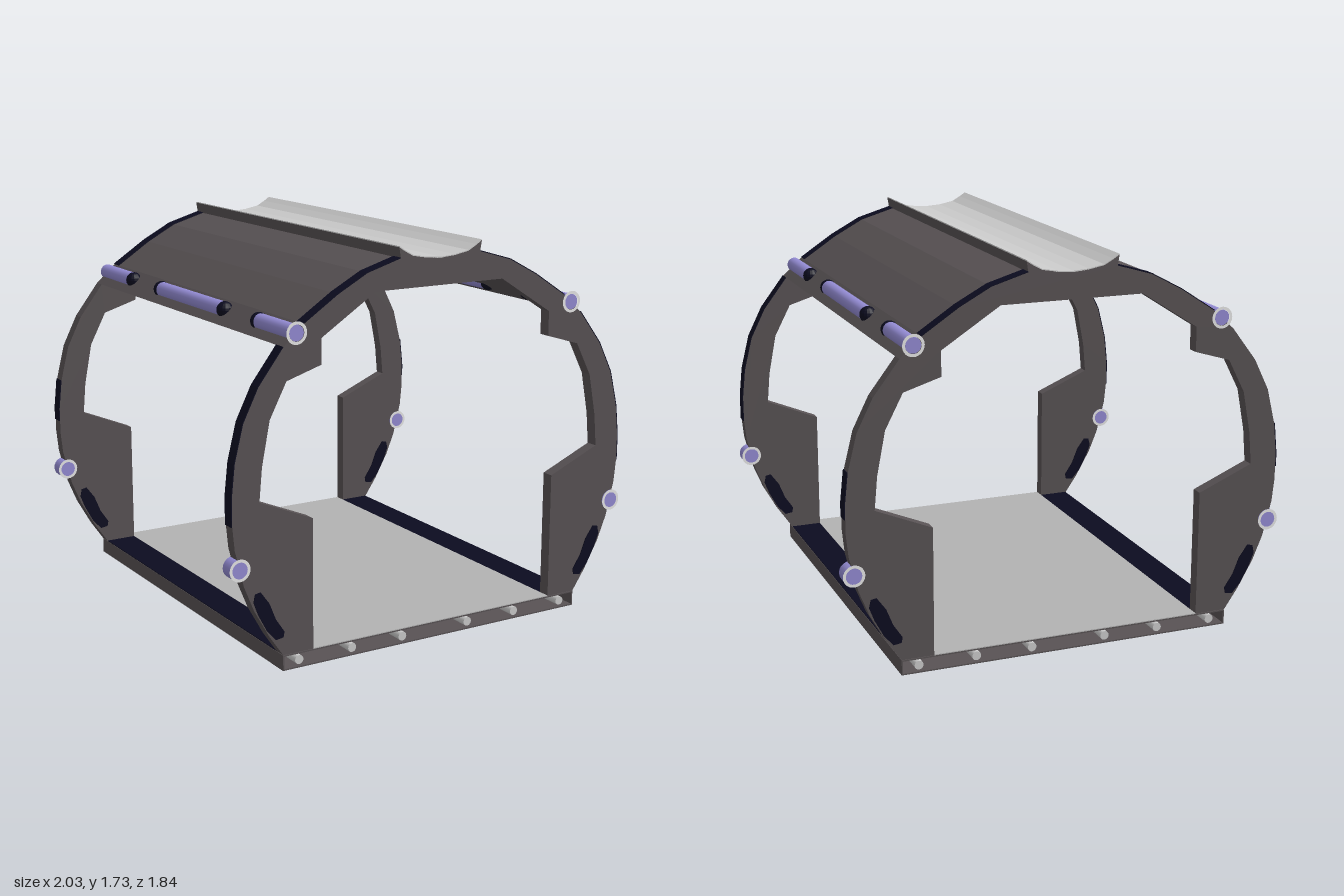
import * as THREE from 'three';

const mat = (name, color, extra = {}) => new THREE.MeshStandardMaterial({ name, color, ...extra });

export function createModel() {
  const grey = mat('dark grey', 0x585254, { flatShading: true });
  const navy = mat('navy', 0x0c0c20, { flatShading: true });
  const purple = mat('purple', 0x938bd3);
  const light = mat('light grey', 0xcbcbcb);
  const floorGrey = mat('floor grey', 0xb2b2b2);
  const white = mat('white', 0xffffff);

  const model = new THREE.Group();
  model.name = 'archedModule';
  const add = (name, geo, material, x = 0, y = 0, z = 0) => {
    const m = new THREE.Mesh(geo, material);
    m.name = name;
    m.position.set(x, y, z);
    model.add(m);
    return m;
  };
  const box = (name, w, h, d, material, x, y, z) => add(name, new THREE.BoxGeometry(w, h, d), material, x, y, z);
  // prism with an (x, y) cross-section between z0 and z1
  const prism = (name, pts, z0, z1, material) => {
    const shape = new THREE.Shape(pts.map(([x, y]) => new THREE.Vector2(x, y)));
    const geo = new THREE.ExtrudeGeometry(shape, { depth: z1 - z0, bevelEnabled: false });
    return add(name, geo, material, 0, 0, z0);
  };
  const flip = (pts) => pts.map(([x, y]) => [-x, y]).reverse();
  const side = (pts, s) => pts.map(([x, y]) => [x * s, y]);
  const END = 0.915, INNER = 0.86;

  // profile halves, listed on the +x side from the bottom up
  const lowerArc = [[0.765, 0.07], [0.83, 0.165], [0.9, 0.29], [0.945, 0.4], [0.985, 0.56], [0.995, 0.66]];
  const sideArc = [[0.995, 0.66], [0.995, 0.78], [0.98, 0.92], [0.94, 1.08], [0.87, 1.22], [0.755, 1.37]];
  const roofArc = [[0.755, 1.37], [0.66, 1.455], [0.5, 1.56], [0.36, 1.635], [0.2, 1.682]];
  const crown = [[0.208, 1.728], [0.18, 1.71], [0.14, 1.688], [0.07, 1.675], [0, 1.67]];
  const innerEdge = [[0.62, 0.07], [0.62, 0.64], [0.87, 0.745], [0.857, 0.89], [0.82, 1.08],
    [0.742, 1.23], [0.578, 1.28], [0.578, 1.39], [0.32, 1.555]];

  // end frames
  const halfOuter = [...lowerArc, ...sideArc.slice(1), ...roofArc.slice(1), ...crown];
  const framePts = [...halfOuter, ...flip(halfOuter).slice(1), ...side(innerEdge, -1), ...innerEdge.slice().reverse()];
  prism('frontFrame', framePts, INNER, END, grey);
  prism('backFrame', framePts, -END, -INNER, grey);

  // roof shell between the frames, with stepped rails underneath
  const roofTop = [...roofArc, ...crown];
  const under = [[0.735, 1.37], [0.64, 1.435], [0.485, 1.53], [0.42, 1.57], [0.42, 1.555],
    [0.37, 1.575], [0.37, 1.565], [0.3, 1.59], [0.3, 1.61], [0.2, 1.64]];
  prism('roof', [...roofTop, ...flip(roofTop).slice(1), ...side(under, -1), ...under.slice().reverse()], -INNER, INNER, grey);

  // light channel along the crown
  const channelTop = [...crown, ...flip(crown).slice(1)].map(([x, y]) => [x * 0.99, y + 0.004]);
  const channelLow = channelTop.map(([x, y]) => [x, y - 0.005]).reverse();
  prism('crownChannel', [...channelTop, ...channelLow], -END, END, light);
  box('crownUnderside', 0.38, 0.006, INNER * 2, floorGrey, 0, 1.638, 0);

  // thin dark strips on the outer edges of the frames
  const strip = (pts, z0, z1) => {
    for (const s of [1, -1]) {
      const outer = pts.map(([x, y]) => [x * 1.004, 0.75 + (y - 0.75) * 1.004]).reverse();
      prism('edgeStrip', side([...pts, ...outer], s), z0, z1, navy);
    }
  };
  strip(sideArc, INNER, END);
  strip([[0.995, 0.72], [0.995, 0.78], [0.98, 0.92]], -END, -INNER);
  strip(roofArc.slice(1), INNER, END);
  strip(roofArc.slice(1), -END, -INNER);

  // dark patches on both faces of the frame legs
  const patch = [[0.87, 0.365], [0.895, 0.36], [0.903, 0.325], [0.88, 0.265], [0.84, 0.19], [0.8, 0.145],
    [0.765, 0.15], [0.76, 0.175], [0.8, 0.235], [0.83, 0.31]];
  for (const s of [1, -1]) {
    for (const z of [END, INNER - 0.004, -END - 0.004, -INNER]) {
      prism('legPatch', side(patch, s), z, z + 0.004, navy);
    }
  }

  // bars along z
  const bar = (name, r, x, y, z0, z1, material) => {
    const geo = new THREE.CylinderGeometry(r, r, z1 - z0, 20).rotateX(Math.PI / 2);
    return add(name, geo, material, x, y, (z0 + z1) / 2);
  };
  const ring = (x, y, z, facing) => {
    const geo = new THREE.RingGeometry(0.035, 0.048, 24);
    if (facing < 0) geo.rotateY(Math.PI);
    add('whiteRing', geo, white, x, y, z + facing * 0.006);
  };
  for (const s of [1, -1]) {
    const x = 0.697 * s, y = 1.422;
    // handrails with rounded dark tips
    for (const [z0, z1] of [[0.61, END + 0.004], [-0.31, 0.31], [-END - 0.004, -0.61]]) {
      bar('handrail', 0.034, x, y, z0, z1, purple);
      for (const z of [z0, z1]) {
        if (Math.abs(z) < 0.9) add('handrailTip', new THREE.SphereGeometry(0.037, 16, 10), navy, x, y, z);
      }
    }
    // lower studs through the frames
    for (const e of [1, -1]) {
      const mid = e * (END + INNER) / 2;
      bar('frameStud', 0.046, 0.965 * s, 0.475, mid - 0.03, mid + 0.03, purple);
      ring(0.965 * s, 0.475, e * END, e);
      ring(0.965 * s, 0.475, e * INNER, -e);
      ring(x, y, e * END, e);
    }
  }

  // hollow floor, open at both ends
  const L = END * 2, H = 0.068;
  box('floorBottom', 1.53, 0.006, L, grey, 0, 0.003, 0);
  box('floorTop', 1.53, 0.006, L, grey, 0, H - 0.003, 0);
  box('floorPanel', 1.24, 0.004, L, floorGrey, 0, H + 0.002, 0);
  for (const s of [1, -1]) {
    box('floorSide', 0.006, H, L, grey, 0.762 * s, H / 2, 0);
    box('floorBorder', 0.142, 0.004, INNER * 2, navy, 0.692 * s, H + 0.002, 0);
    for (const x of [0.172, 0.428, 0.688]) bar('floorTube', 0.02, x * s, 0.035, -END, END, light);
  }
  return model;
}
